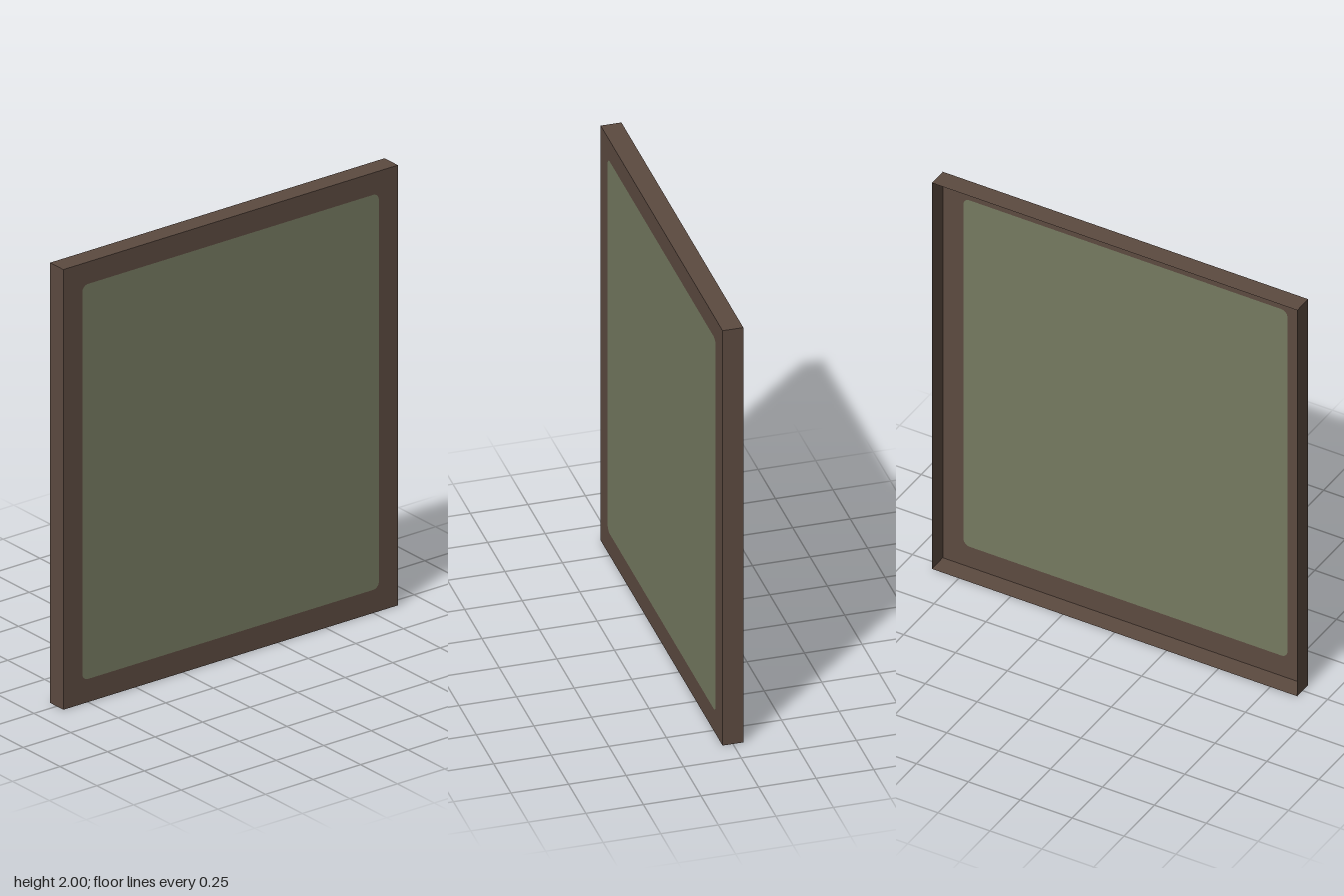
import * as THREE from 'three';

const W = 1.76, H = 2, D = 0.09;          // outer size
const PANE = { x: 0.78, y0: 0.105, y1: 1.9, r: 0.03 };

// Rounded outline shared by the frame opening and the pane
function roundedRect(path, { x, y0, y1, r }) {
  path.moveTo(-x + r, y0);
  path.lineTo(x - r, y0);
  path.absarc(x - r, y0 + r, r, -Math.PI / 2, 0);
  path.lineTo(x, y1 - r);
  path.absarc(x - r, y1 - r, r, 0, Math.PI / 2);
  path.lineTo(-x + r, y1);
  path.absarc(-x + r, y1 - r, r, Math.PI / 2, Math.PI);
  path.lineTo(-x, y0 + r);
  path.absarc(-x + r, y0 + r, r, Math.PI, Math.PI * 1.5);
  return path;
}

export function createModel() {
  const group = new THREE.Group();
  group.name = 'framedPanel';
  const frameMat = new THREE.MeshStandardMaterial({ name: 'brownFrame', color: 0x5c4a40, side: THREE.DoubleSide });
  const paneMat = new THREE.MeshStandardMaterial({ name: 'mossGreenPane', color: 0x757a60, side: THREE.DoubleSide });

  const add = (name, geometry, material, x, y, z) => {
    const mesh = new THREE.Mesh(geometry, material);
    mesh.name = name;
    mesh.position.set(x, y, z);
    group.add(mesh);
    return mesh;
  };

  // Front border with a rounded opening
  const border = new THREE.Shape();
  border.moveTo(-W / 2, 0);
  border.lineTo(W / 2, 0);
  border.lineTo(W / 2, H);
  border.lineTo(-W / 2, H);
  border.closePath();
  border.holes.push(roundedRect(new THREE.Path(), PANE));
  add('frontBorder', new THREE.ShapeGeometry(border, 6), frameMat, 0, 0, D / 2);

  // Pane filling the opening
  add('pane', new THREE.ShapeGeometry(roundedRect(new THREE.Shape(), PANE), 6), paneMat, 0, 0, D / 2);

  // Thin rim walls, open at the back
  for (const s of [-1, 1]) {
    add(s > 0 ? 'leftWall' : 'rightWall', new THREE.PlaneGeometry(D, H), frameMat, s * W / 2, H / 2, 0)
      .rotation.y = s * Math.PI / 2;
    add(s > 0 ? 'topWall' : 'bottomWall', new THREE.PlaneGeometry(W, D), frameMat, 0, s > 0 ? H : 0, 0)
      .rotation.x = -s * Math.PI / 2;
  }
  return group;
}
